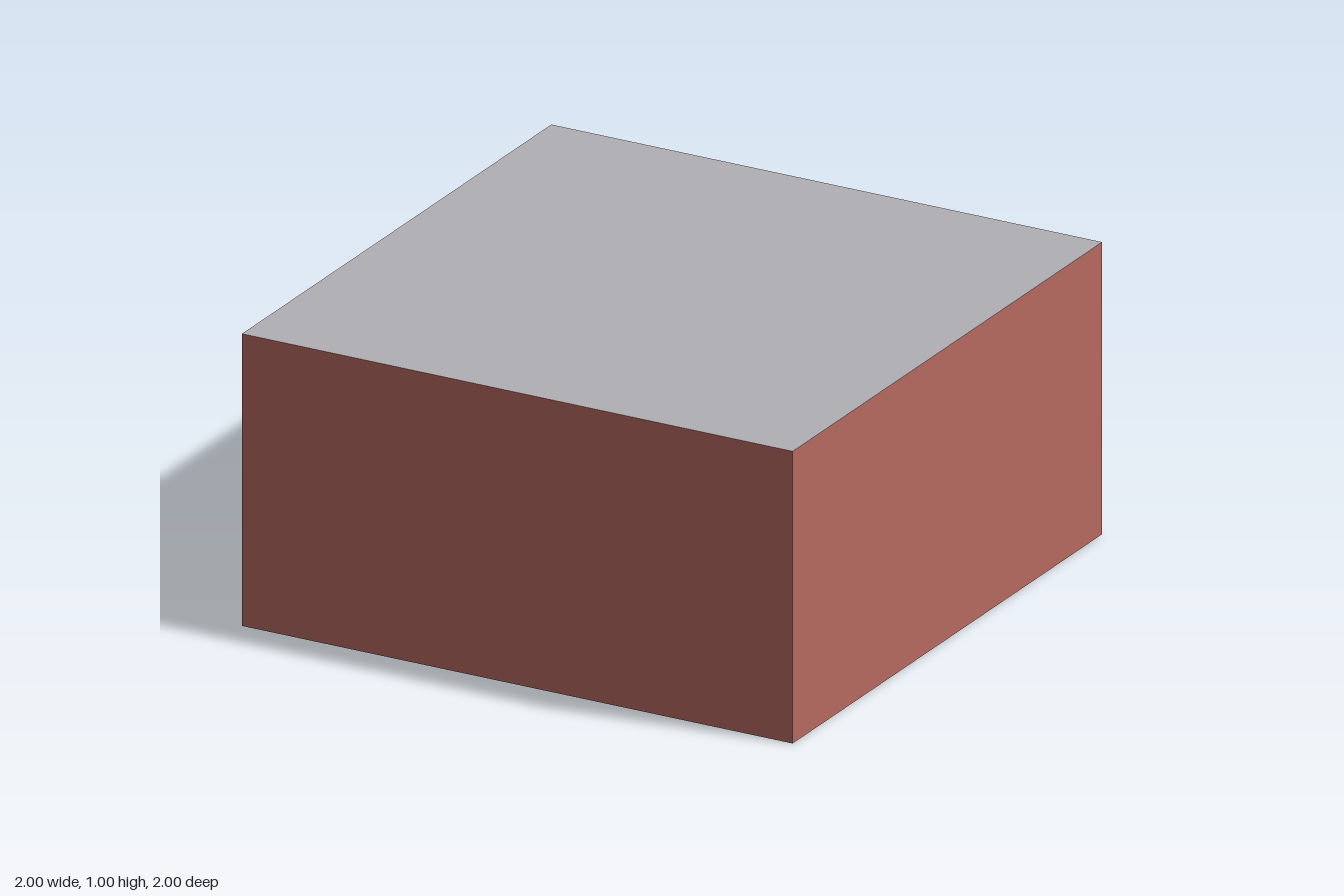
import * as THREE from 'three';

const paint = (color) => new THREE.MeshStandardMaterial({ color, side: THREE.DoubleSide });

export function createModel() {
  const group = new THREE.Group();
  const brick = paint(0xb5695f);

  const add = (name, geometry, material, position, rotation = [0, 0, 0]) => {
    const mesh = new THREE.Mesh(geometry, material);
    mesh.name = name;
    mesh.position.set(...position);
    mesh.rotation.set(...rotation);
    group.add(mesh);
  };

  // Thin solid walls on the front and both sides
  const wall = new THREE.PlaneGeometry(2, 1);
  add('frontWall', wall, brick, [0, 0.5, 1]);
  add('leftWall', wall, brick, [1, 0.5, 0], [0, Math.PI / 2, 0]);
  add('rightWall', wall, brick, [-1, 0.5, 0], [0, -Math.PI / 2, 0]);

  // Back wall with a wide doorway reaching the ground
  const outline = [
    [-1, 0], [-0.5, 0], [-0.5, 0.75], [0.5, 0.75],
    [0.5, 0], [1, 0], [1, 1], [-1, 1],
  ].map(([x, y]) => new THREE.Vector2(x, y));
  add('backWall', new THREE.ShapeGeometry(new THREE.Shape(outline)), brick, [0, 0, -1], [0, Math.PI, 0]);

  // Flat roof and floor
  const slab = new THREE.PlaneGeometry(2, 2);
  add('roof', slab, paint(0xb0afb4), [0, 1, 0], [-Math.PI / 2, 0, 0]);
  add('floor', slab, paint(0x5a564e), [0, 0, 0], [-Math.PI / 2, 0, 0]);

  // Crate standing just inside the doorway
  add('crate', new THREE.BoxGeometry(0.25, 0.25, 0.25), paint(0x87613a), [0.6, 0.125, -0.6]);

  return group;
}
